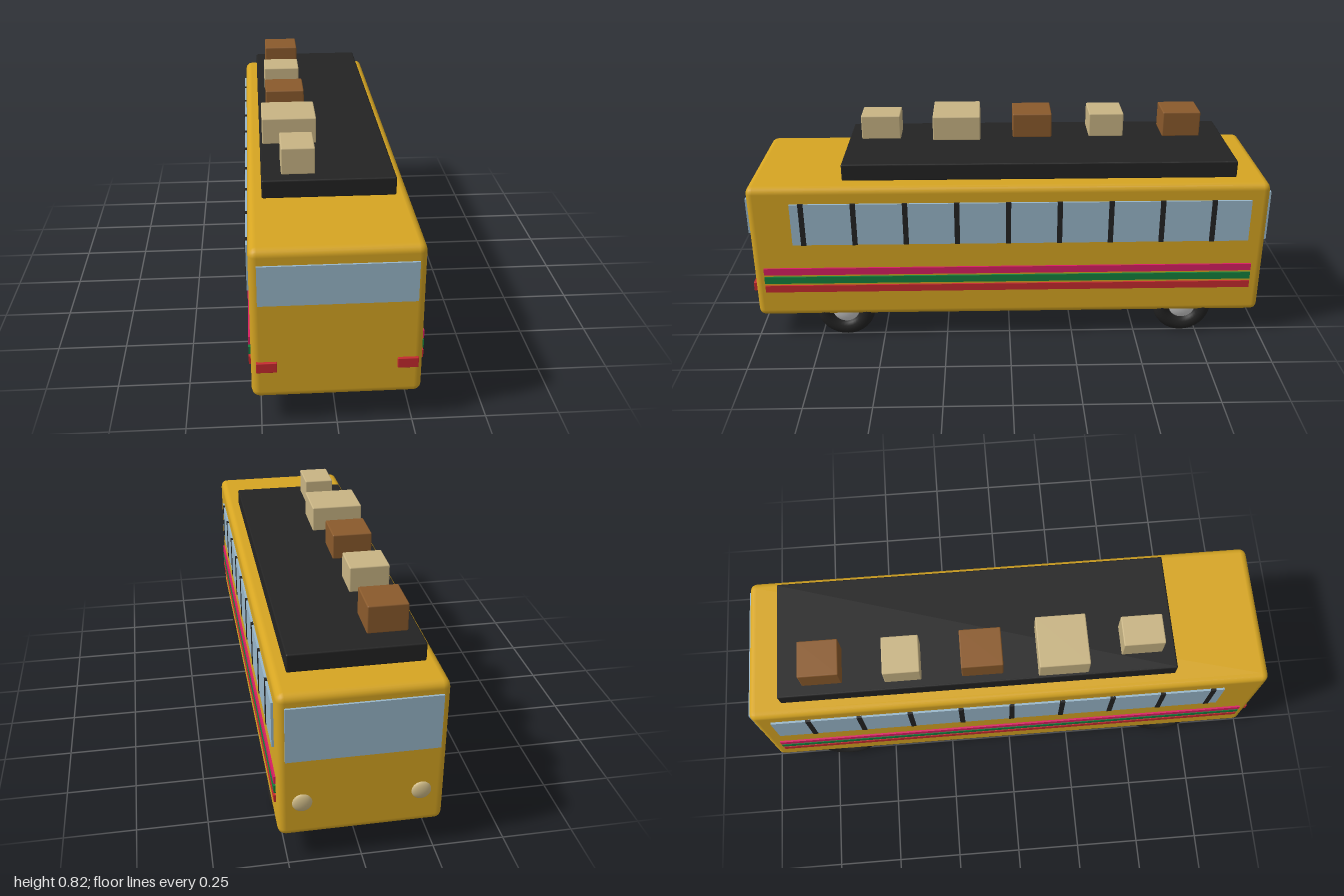
import * as THREE from 'three';
import { RoundedBoxGeometry } from 'three/addons/geometries/RoundedBoxGeometry.js';

const paint = (name, color) => {
  const m = new THREE.MeshStandardMaterial({ color });
  m.name = name;
  return m;
};

export function createModel() {
  const yellow = paint('bus yellow', 0xd6a522);
  const glass = paint('window blue', 0x98b6c9);
  const black = paint('black', 0x232323);
  const pink = paint('pink', 0xd81e62);
  const green = paint('green', 0x15803d);
  const red = paint('red', 0xc62a2e);
  const tan = paint('tan', 0xc8b484);
  const brown = paint('brown', 0x8a5a2c);
  const silver = paint('silver', 0xcccccc);
  const lamp = paint('lamp', 0xd0bc88);

  const bus = new THREE.Group();
  bus.name = 'bus';

  const add = (name, geometry, material, x = 0, y = 0, z = 0) => {
    const mesh = new THREE.Mesh(geometry, material);
    mesh.name = name;
    mesh.position.set(x, y, z);
    bus.add(mesh);
    return mesh;
  };
  // Box given by its limits on each axis; a radius rounds its edges
  const block = (name, material, [x0, x1], [y0, y1], [z0, z1], radius = 0) => {
    const size = [x1 - x0, y1 - y0, z1 - z0];
    const geometry = radius
      ? new RoundedBoxGeometry(...size, 2, radius)
      : new THREE.BoxGeometry(...size);
    return add(name, geometry, material, (x0 + x1) / 2, (y0 + y1) / 2, (z0 + z1) / 2);
  };
  const sideSpan = (side, a, b) => (side > 0 ? [a, b] : [-b, -a]);

  // Body and the two end windows
  block('body', yellow, [-0.28, 0.28], [0.1, 0.648], [-0.987, 0.99], 0.027);
  block('tailWindow', glass, [-0.255, 0.255], [0.455, 0.595], [0.988, 0.997]);
  block('windscreen', glass, [-0.255, 0.255], [0.405, 0.605], [-0.995, -0.986]);

  const stripes = [['pinkStripe', pink, 0.3], ['greenStripe', green, 0.263], ['redStripe', red, 0.225]];

  for (const side of [1, -1]) {
    // Long side window and its pillars
    block('sideWindow', glass, sideSpan(side, 0.279, 0.288), [0.416, 0.584], [-0.917, 0.828]);
    for (let i = 0; i < 9; i++) {
      const z = 0.785 - i * 0.195;
      block('windowPillar', black, sideSpan(side, 0.281, 0.29), [0.415, 0.586], [z - 0.01, z + 0.01]);
    }

    // Coloured stripes
    for (const [name, material, y] of stripes) {
      block(name, material, sideSpan(side, 0.279, 0.287), [y - 0.014, y + 0.014], [-0.94, 0.95]);
    }

    // Lights at both ends
    block('tailLight', red, sideSpan(side, 0.196, 0.264), [0.207, 0.243], [0.98, 1.0], 0.002);
    const headlight = add('headlight', new THREE.SphereGeometry(0.034, 24, 16), lamp, side * 0.2, 0.235, -0.986);
    headlight.scale.z = 0.4;

    // Tyres with domed hubs
    for (const z of [0.65, -0.69]) {
      const tyre = add('tyre', new THREE.TorusGeometry(0.082, 0.033, 16, 32), black, side * 0.242, 0.115, z);
      tyre.rotation.y = Math.PI / 2;
      const hub = add('hub', new THREE.SphereGeometry(0.065, 24, 16), silver, side * 0.242, 0.115, z);
      hub.scale.x = 0.4;
    }
  }

  // Roof rack and luggage
  block('roofRack', black, [-0.23, 0.23], [0.655, 0.721], [-0.863, 0.632], 0.006);
  const luggage = [
    [brown, [-0.19, -0.05], 0.82, [-0.77, -0.62]],
    [tan, [-0.2, -0.055], 0.815, [-0.463, -0.325]],
    [brown, [-0.2, -0.05], 0.817, [-0.175, -0.02]],
    [tan, [-0.221, -0.022], 0.818, [0.11, 0.298]],
    [tan, [-0.162, -0.045], 0.816, [0.427, 0.582]],
  ];
  for (const [material, xs, top, zs] of luggage) {
    block('luggage', material, xs, [0.719, top], zs, 0.005);
  }

  return bus;
}
